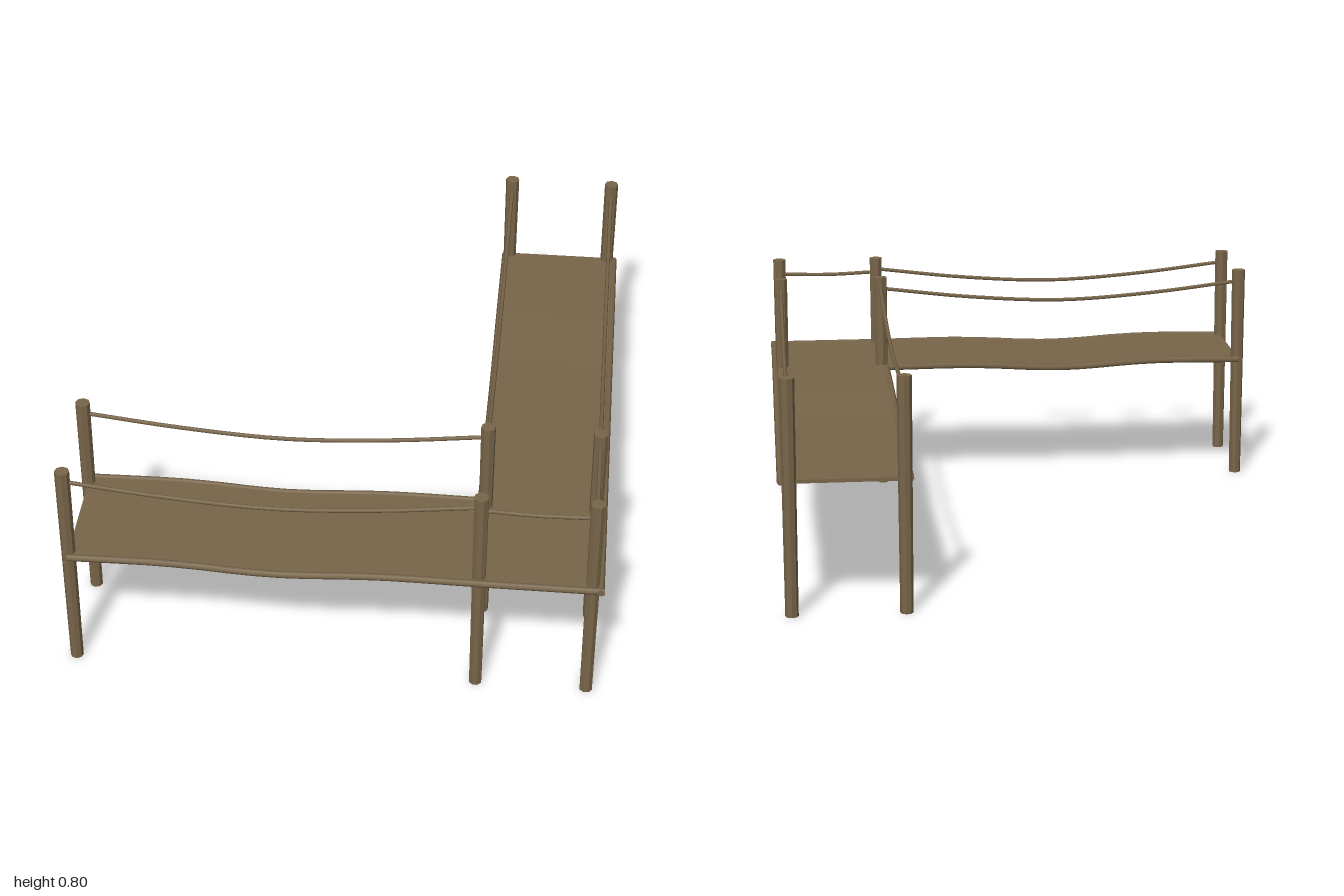
import * as THREE from 'three';

export function createModel() {
  const group = new THREE.Group();
  const wood = new THREE.MeshStandardMaterial({ color: 0x786549 });
  wood.name = 'weatheredWood';

  const add = (name, geometry) => {
    const mesh = new THREE.Mesh(geometry, wood);
    mesh.name = name;
    group.add(mesh);
    return mesh;
  };
  const V = (x, y, z) => new THREE.Vector3(x, y, z);

  // Height of the sagging walkway along one arm, t from 0 (far end) to 1 (corner)
  const sag = new THREE.CatmullRomCurve3(
    [0.456, 0.459, 0.441, 0.458, 0.457].map((y, i) => V(i / 4, y, 0)));
  const deckHeight = (t) => sag.getPoint(THREE.MathUtils.clamp(t, 0, 1)).y;

  // Posts
  const posts = [
    [-0.88, 0.585], [-0.88, 0.96], [0.49, 0.585], [0.49, 0.96],
    [0.865, 0.96], [0.865, 0.585], [0.49, -0.975], [0.865, -0.975],
  ];
  posts.forEach(([x, z], i) => {
    const geo = new THREE.CylinderGeometry(0.025, 0.022, 0.8, 8).toNonIndexed();
    geo.computeVertexNormals();
    const post = add('post' + (i + 1), geo);
    post.position.set(x, 0.4, z);
    post.rotation.y = i * 0.9;
  });

  // Deck planks: thin slabs bent to the sag
  const deck = (name, x0, x1, z0, z1, heightAt) => {
    const geo = new THREE.BoxGeometry(x1 - x0, 0.012, z1 - z0, 12, 1, 12);
    geo.translate((x0 + x1) / 2, 0, (z0 + z1) / 2);
    const p = geo.attributes.position;
    for (let i = 0; i < p.count; i++) {
      p.setY(i, p.getY(i) + heightAt(p.getX(i), p.getZ(i)));
    }
    geo.computeVertexNormals();
    add(name, geo);
  };
  const xArm = (x) => deckHeight((x + 0.88) / 1.37);
  const zArm = (x, z) => deckHeight((z + 0.98) / 1.56);
  deck('leftDeck', -0.88, 0.47, 0.55, 0.99, xArm);
  deck('backDeck', 0.47, 0.895, -0.98, 0.55, zArm);
  deck('cornerDeck', 0.47, 0.895, 0.55, 0.99, zArm);

  // Poles and ropes: capped faceted tubes along a list of points
  const tube = (name, points, radius, sides) => {
    const curve = new THREE.CatmullRomCurve3(points);
    add(name, new THREE.TubeGeometry(curve, 20, radius, sides));
    [0, 1].forEach((end) => {
      const cap = add(name + 'End', new THREE.CircleGeometry(radius, sides));
      cap.position.copy(curve.getPoint(end));
      const dir = curve.getTangent(end).multiplyScalar(end ? 1 : -1);
      cap.quaternion.setFromUnitVectors(V(0, 0, 1), dir);
    });
  };

  // Edge poles along the sides of the decks
  const range = (a, b) => Array.from({ length: 13 }, (_, i) => a + (b - a) * i / 12);
  [['innerLeftBeam', 0.553, 0.47], ['frontBeam', 0.987, 0.905]].forEach(([name, z, end]) =>
    tube(name, range(-0.88, end).map((x) => V(x, xArm(x), z)), 0.012, 6));
  [['innerBackBeam', 0.473, 0.55], ['rightBeam', 0.892, 0.998]].forEach(([name, x, end]) =>
    tube(name, range(-0.98, end).map((z) => V(x, zArm(x, z), z)), 0.012, 6));

  // Hand ropes slung between neighbouring posts
  const rope = (name, a, b, heights) => {
    const n = heights.length - 1;
    tube(name, heights.map((y, i) =>
      V(a[0] + (b[0] - a[0]) * i / n, y, a[1] + (b[1] - a[1]) * i / n)), 0.007, 6);
  };
  const long = [0.757, 0.718, 0.698, 0.717, 0.757];
  const short = [0.745, 0.738, 0.743];
  rope('innerLeftRope', posts[0], posts[2], long);
  rope('frontRope', posts[1], posts[3], long);
  rope('innerBackRope', posts[6], posts[2], long);
  rope('rightRope', posts[7], posts[5], long);
  rope('cornerFrontRope', posts[3], posts[4], short);
  rope('cornerRightRope', posts[5], posts[4], short);

  return group;
}
